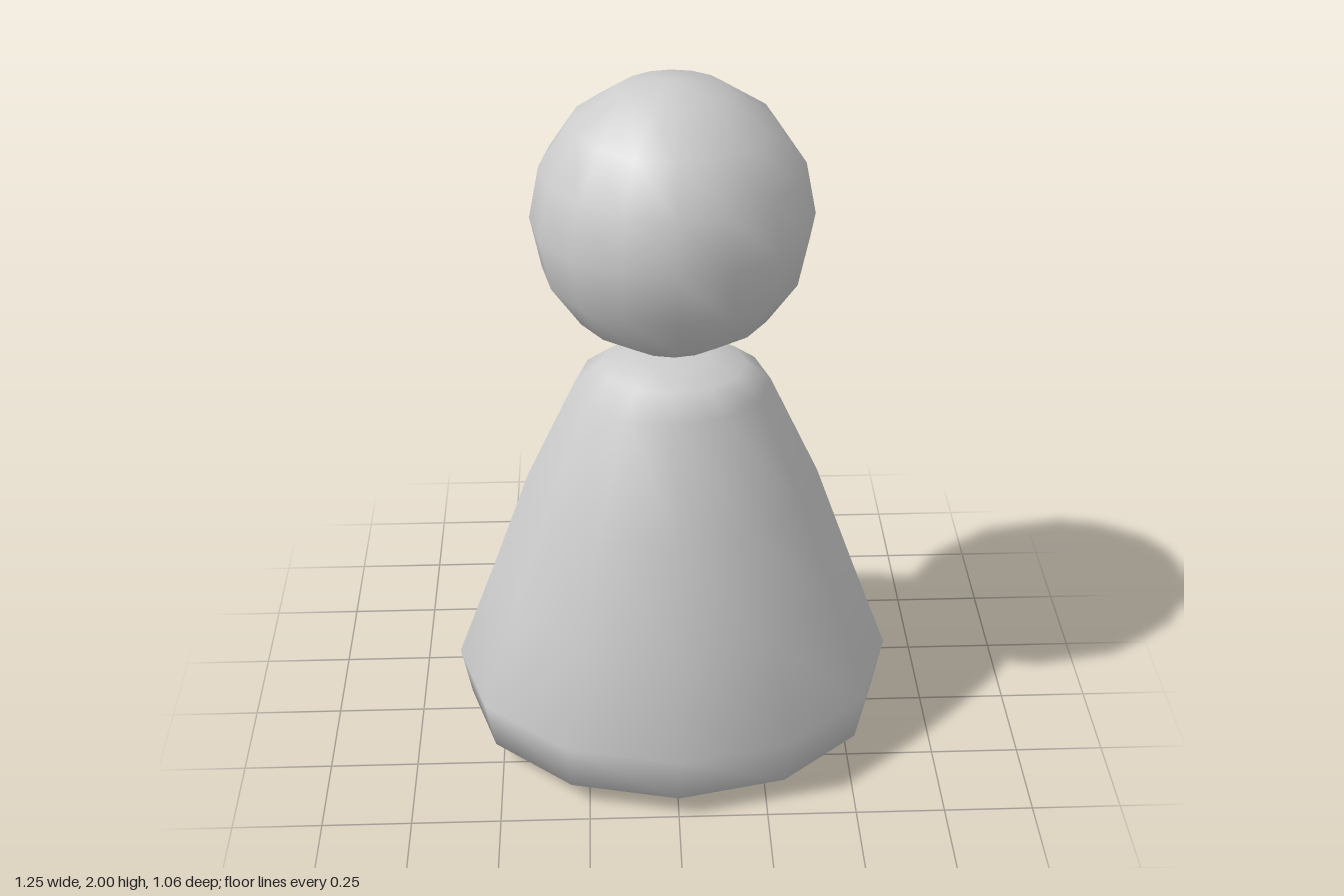
import * as THREE from 'three';
import { mergeVertices } from 'three/addons/utils/BufferGeometryUtils.js';

// Body rings from bottom to top: height, half width, half depth
const RINGS = [
  [0, 0, 0],
  [0.005, 0.4, 0.34],
  [0.07, 0.6, 0.503],
  [0.22, 0.627, 0.53],
  [0.52, 0.517, 0.465],
  [0.83, 0.407, 0.372],
  [1.13, 0.268, 0.24],
  [1.185, 0.2, 0.168],
  [1.21, 0.105, 0.09],
  [1.213, 0, 0],
];

// Weld the seam so shading runs smoothly all round
function smooth(geometry) {
  geometry.deleteAttribute('uv');
  geometry.deleteAttribute('normal');
  const welded = mergeVertices(geometry, 1e-4);
  welded.computeVertexNormals();
  return welded;
}

// Twelve-sided oval body: a lathe flattened ring by ring in depth
function bodyGeometry() {
  const geometry = new THREE.LatheGeometry(RINGS.map(([y, rx]) => new THREE.Vector2(rx, y)), 12);
  const pos = geometry.attributes.position;
  for (let i = 0; i < pos.count; i++) {
    const [, rx, rz] = RINGS[i % RINGS.length];
    if (rx > 0) pos.setZ(i, pos.getZ(i) * rz / rx);
  }
  return smooth(geometry);
}

export function createModel() {
  const group = new THREE.Group();
  group.name = 'pawnFigure';
  const grey = new THREE.MeshStandardMaterial({ color: 0xcccccc });
  grey.name = 'light grey';

  const body = new THREE.Mesh(bodyGeometry(), grey);
  body.name = 'body';

  // Floating round head
  const head = new THREE.Mesh(smooth(new THREE.SphereGeometry(0.374, 16, 8)), grey);
  head.name = 'head';
  head.position.y = 1.626;

  group.add(body, head);
  return group;
}
